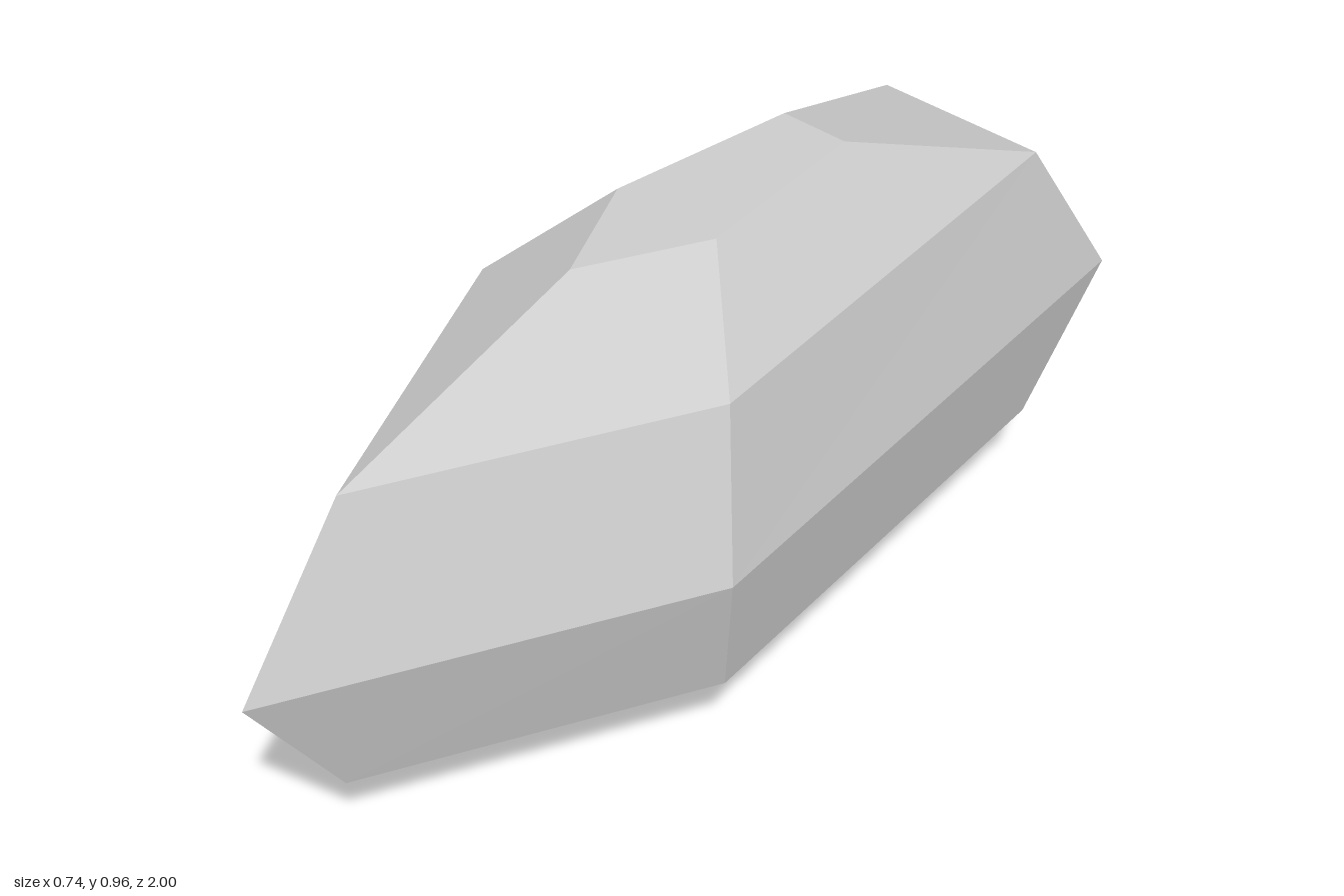
import * as THREE from 'three';

// Pentagonal cross-sections, bottom to top: height, front tip z, widest x and z, back x and z
const SECTIONS = [
  { y: 0.0, tip: 0.27, side: [0.125, 0.0], back: [0.078, -0.41] },
  { y: 0.185, tip: 0.8, side: [0.3, 0.17], back: [0.186, -0.835] },
  { y: 0.48, tip: 1.0, side: [0.368, 0.23], back: [0.228, -1.0] },
  { y: 0.79, tip: 0.77, side: [0.293, 0.16], back: [0.18, -0.815] },
  { y: 0.96, tip: 0.235, side: [0.115, 0.0], back: [0.071, -0.385] },
];

// Mirrored ring, counter-clockwise seen from above, starting at the front tip
function ring({ y, tip, side, back }) {
  return [
    [0, y, tip],
    [side[0], y, side[1]],
    [back[0], y, back[1]],
    [-back[0], y, back[1]],
    [-side[0], y, side[1]],
  ];
}

// Faceted hull lofted through the sections, closed with flat caps
function hullGeometry() {
  const rings = SECTIONS.map(ring);
  const n = rings[0].length;
  const positions = [];
  const triangle = (a, b, c) => positions.push(...a, ...b, ...c);

  for (let k = 0; k < rings.length - 1; k++) {
    for (let i = 0; i < n; i++) {
      const j = (i + 1) % n;
      triangle(rings[k][i], rings[k][j], rings[k + 1][j]);
      triangle(rings[k][i], rings[k + 1][j], rings[k + 1][i]);
    }
  }
  const bottom = rings[0];
  const top = rings[rings.length - 1];
  for (let i = 1; i < n - 1; i++) {
    triangle(top[0], top[i], top[i + 1]);
    triangle(bottom[0], bottom[i + 1], bottom[i]);
  }

  const geometry = new THREE.BufferGeometry();
  geometry.setAttribute('position', new THREE.Float32BufferAttribute(positions, 3));
  geometry.computeVertexNormals();
  return geometry;
}

export function createModel() {
  const grey = new THREE.MeshStandardMaterial({ color: 0xcccccc });
  grey.name = 'light grey';
  grey.flatShading = true;

  const group = new THREE.Group();
  group.name = 'facetedStone';
  const hull = new THREE.Mesh(hullGeometry(), grey);
  hull.name = 'facetedBody';
  group.add(hull);
  return group;
}
